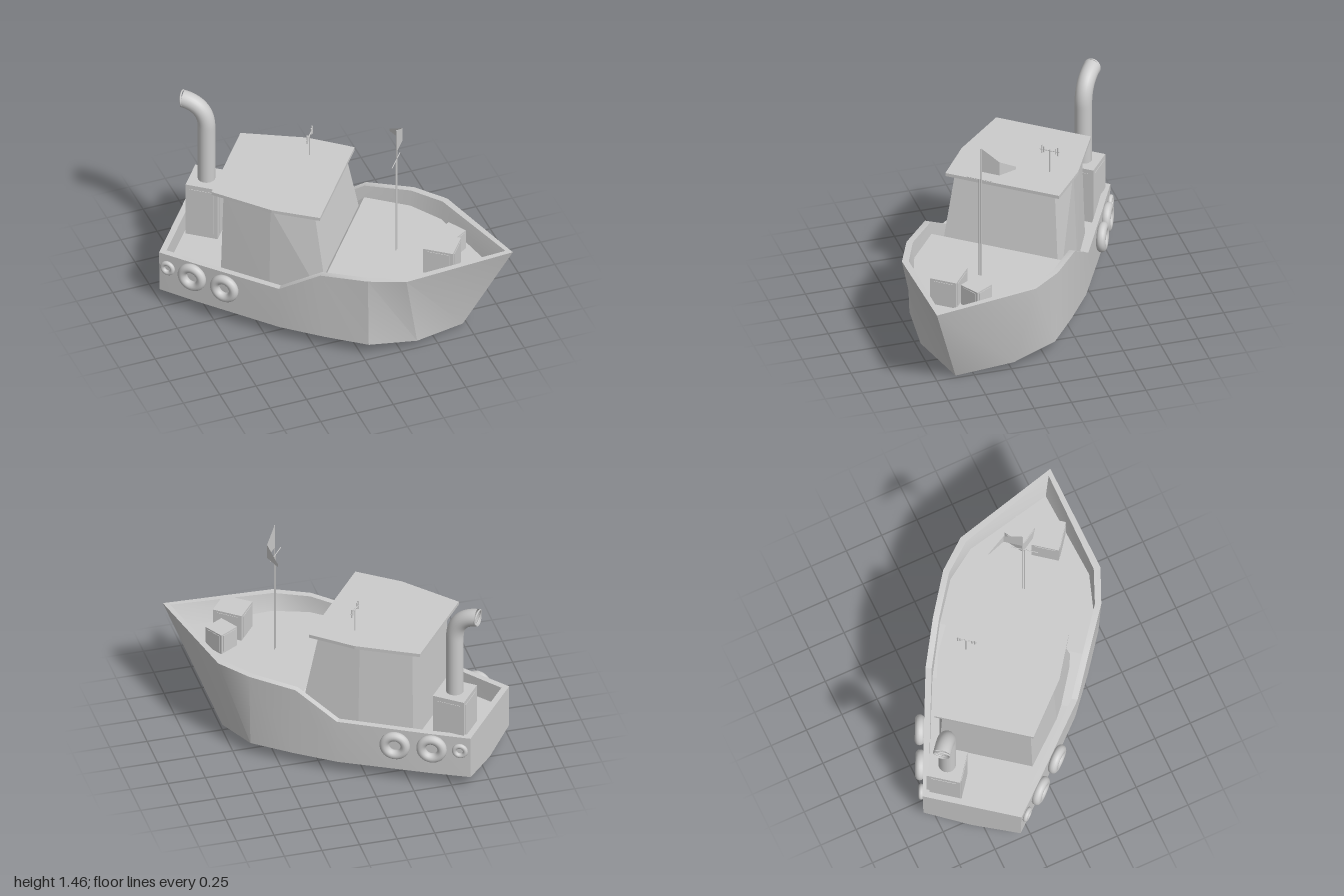
import * as THREE from 'three';
import { toCreasedNormals } from 'three/addons/utils/BufferGeometryUtils.js';
import { ConvexGeometry } from 'three/addons/geometries/ConvexGeometry.js';

const grey = new THREE.MeshStandardMaterial({ color: 0xcccccc });
const greyDouble = new THREE.MeshStandardMaterial({ color: 0xcccccc, side: THREE.DoubleSide });
const V = (x, y, z) => new THREE.Vector3(x, y, z);

function add(parent, name, geometry, x = 0, y = 0, z = 0, material = grey) {
  const mesh = new THREE.Mesh(geometry, material);
  mesh.name = name;
  mesh.position.set(x, y, z);
  parent.add(mesh);
  return mesh;
}

// Closed cross-sections lofted from stern to bow: keel, chine, rim, bulwark, deck
function hullGeometry() {
  const stations = [
    // rim z,h,y        chine z,h,y        keel z,y      inner z,h     deck z,h,y
    [-0.985, 0.325, 0.39, -0.985, 0.32, 0.09, -0.985, 0.05, -0.945, 0.29, -0.945, 0.29, 0.25],
    [-0.70, 0.385, 0.395, -0.73, 0.375, 0.09, -0.73, 0, -0.70, 0.345, -0.70, 0.345, 0.25],
    [-0.13, 0.50, 0.41, -0.13, 0.485, 0.09, -0.13, 0, -0.13, 0.46, -0.13, 0.455, 0.25],
    [0.15, 0.515, 0.59, 0.17, 0.50, 0.09, 0.17, 0, 0.15, 0.475, 0.15, 0.47, 0.50],
    [0.47, 0.52, 0.615, 0.47, 0.50, 0.09, 0.47, 0, 0.46, 0.48, 0.46, 0.47, 0.50],
    [0.71, 0.46, 0.62, 0.74, 0.32, 0.05, 0.75, 0, 0.69, 0.42, 0.69, 0.39, 0.50],
    [1.285, 0, 0.65, 0.95, 0, 0, 0.95, 0, 1.235, 0, 1.15, 0, 0.50],
  ];
  const rings = stations.map(([rz, rh, ry, cz, ch, cy, kz, ky, iz, ih, dz, dh, dy]) => {
    const side = [V(ch, cy, cz), V(rh, ry, rz), V(ih, ry, iz), V(dh, dy, dz)];
    const other = side.map((p) => V(-p.x, p.y, p.z)).reverse();
    return [V(0, ky, kz), ...side, ...other];
  });
  const pos = [];
  const tri = (a, b, c) => {
    const area = b.clone().sub(a).cross(c.clone().sub(a)).length();
    if (area > 1e-7) for (const p of [a, b, c]) pos.push(p.x, p.y, p.z);
  };
  const fan = (...p) => { for (let i = 1; i < p.length - 1; i++) tri(p[0], p[i], p[i + 1]); };
  for (let k = 0; k < rings.length - 1; k++) {
    const a = rings[k], b = rings[k + 1], n = a.length;
    for (let j = 0; j < n; j++) {
      const m = (j + 1) % n;
      fan(a[j], a[m], b[m], b[j]);
    }
  }
  // Transom: outside, top and inside
  const [keel, c1, r1, i1, d1, d2, i2, r2, c2] = rings[0];
  fan(keel, c2, r2, r1, c1);
  fan(r2, i2, i1, r1);
  fan(i2, d2, d1, i1);
  const g = new THREE.BufferGeometry();
  g.setAttribute('position', new THREE.Float32BufferAttribute(pos, 3));
  return toCreasedNormals(g, 0.5);
}

// Mirrored convex block from [halfWidth, y, z] corners
function block(corners) {
  return new ConvexGeometry(corners.flatMap(([h, y, z]) => [V(h, y, z), V(-h, y, z)]));
}

// Box with slim panels on its sides
function crate(parent, name, w, h, d, x, y, z, yaw = 0) {
  const g = new THREE.Group();
  g.name = name;
  g.position.set(x, y, z);
  g.rotation.y = yaw;
  parent.add(g);
  add(g, name + 'Body', new THREE.BoxGeometry(w, h, d), 0, h / 2, 0);
  add(g, name + 'SidePanels', new THREE.BoxGeometry(w + 0.006, h * 0.84, d * 0.76), 0, h / 2, 0);
  add(g, name + 'EndPanels', new THREE.BoxGeometry(w * 0.76, h * 0.84, d + 0.006), 0, h / 2, 0);
}

function rod(parent, name, r, length, x, y, z, across = false) {
  const m = add(parent, name, new THREE.CylinderGeometry(r, r, length, 8), x, y, z);
  if (across) m.rotation.z = Math.PI / 2;
}

export function createModel() {
  const model = new THREE.Group();
  model.name = 'tugboat';
  // The boat is modelled along z, then turned to its heading
  const boat = new THREE.Group();
  boat.name = 'boat';
  boat.rotation.y = 0.91;
  boat.position.set(-0.026, 0, 0.034);
  model.add(boat);

  add(boat, 'hull', hullGeometry(), 0, 0, 0, greyDouble);

  // Wheelhouse tapering upwards, with an overhanging roof
  add(boat, 'cabin', block([
    [0.415, 0.25, 0.178], [0.385, 0.25, -0.23], [0.305, 0.25, -0.58],
    [0.342, 0.94, 0.06], [0.36, 0.94, -0.23], [0.287, 0.94, -0.565],
  ]));
  add(boat, 'roof', block([0.932, 0.955].flatMap((y) => [
    [0.39, y, 0.11], [0.40, y, -0.21], [0.325, y, -0.635],
  ])));

  // Engine housing and curved funnel
  crate(boat, 'engineHousing', 0.22, 0.395, 0.215, 0.2, 0.25, -0.825);
  const path = new THREE.CurvePath();
  path.add(new THREE.LineCurve3(V(0, 0.62, -0.825), V(0, 1.06, -0.825)));
  path.add(new THREE.CubicBezierCurve3(
    V(0, 1.06, -0.825), V(0, 1.17, -0.825), V(0, 1.235, -0.88), V(0, 1.25, -0.985)));
  add(boat, 'funnel', new THREE.TubeGeometry(path, 40, 0.057, 24), 0.2, 0, 0, greyDouble);
  add(boat, 'funnelCollar', new THREE.TorusGeometry(0.053, 0.006, 8, 24), 0.2, 1.25, -0.983)
    .rotation.x = -0.14;

  // Tyre fenders on both sides
  for (const s of [1, -1]) {
    for (const [off, z, R, r] of [
      [0.35, -0.922, 0.036, 0.016], [0.397, -0.745, 0.069, 0.031], [0.452, -0.512, 0.069, 0.031],
    ]) {
      add(boat, s > 0 ? 'leftFender' : 'rightFender',
        new THREE.TorusGeometry(R, r, 14, 32), s * off, 0.295, z)
        .rotation.y = s * (Math.PI / 2 + 0.2);
    }
  }

  // Crates on the foredeck
  crate(boat, 'largeCrate', 0.18, 0.19, 0.2, -0.09, 0.5, 0.838);
  crate(boat, 'smallCrate', 0.144, 0.145, 0.14, 0.1, 0.5, 0.837, -0.38);

  // Twin mast with crossbar and bent pennant
  rod(boat, 'mast', 0.004, 0.725, -0.007, 0.8625, 0.505);
  rod(boat, 'flagPole', 0.004, 0.96, 0.007, 0.98, 0.506);
  rod(boat, 'mastCrossbar', 0.003, 0.175, -0.007, 1.225, 0.505, true);
  const flag = new THREE.BufferGeometry().setFromPoints([
    V(0.007, 1.46, 0.506), V(0.007, 1.285, 0.506), V(0.132, 1.385, 0.507),
    V(0.132, 1.285, 0.507), V(0.205, 1.305, 0.4), V(0.205, 1.285, 0.4)]);
  flag.setIndex([0, 1, 2, 2, 1, 3, 2, 3, 4, 4, 3, 5]);
  add(boat, 'flag', toCreasedNormals(flag.toNonIndexed(), 0.3), 0, 0, 0, greyDouble);

  // Roof aerial
  rod(boat, 'aerialPole', 0.004, 0.175, 0.229, 1.035, -0.144);
  rod(boat, 'aerialCrossbar', 0.004, 0.135, 0.229, 1.115, -0.144, true);
  for (const s of [1, -1]) {
    rod(boat, 'aerialInnerRod', 0.005, 0.045, 0.229 + s * 0.04, 1.117, -0.144);
    rod(boat, 'aerialOuterRod', 0.005, 0.062, 0.229 + s * 0.056, 1.117, -0.144);
  }
  return model;
}
